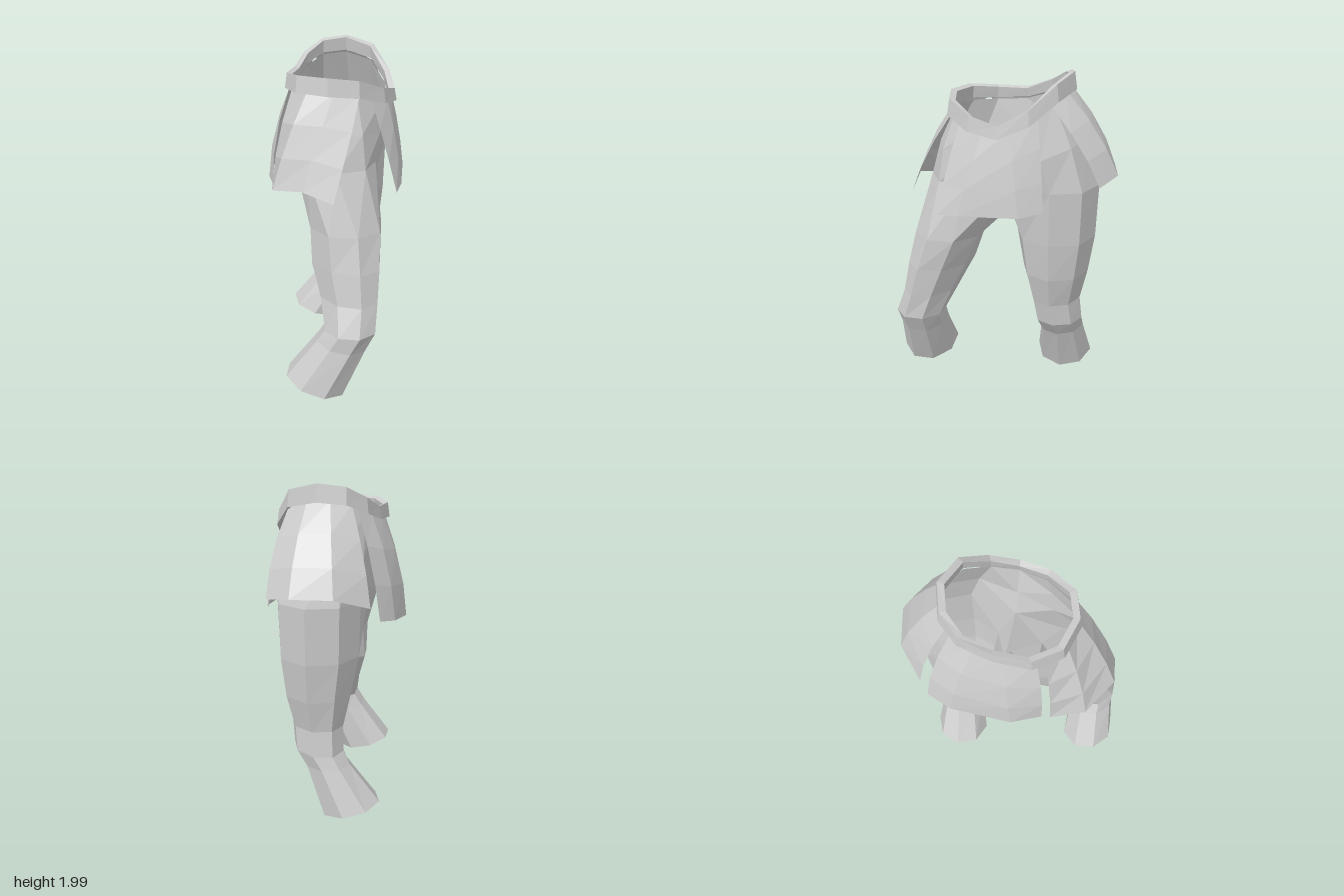
import * as THREE from 'three';

const material = new THREE.MeshStandardMaterial({ color: 0xcccccc, flatShading: true, side: THREE.DoubleSide });
const V = (x, y, z) => new THREE.Vector3(x, y, z);

// Skin rows of points (listed top to bottom, running clockwise seen from above).
function skin(name, rows, closed) {
  const n = rows[0].length, index = [];
  for (let r = 0; r < rows.length - 1; r++) {
    for (let i = 0; i < (closed ? n : n - 1); i++) {
      const j = (i + 1) % n, up = r * n, lo = up + n;
      index.push(lo + i, lo + j, up + j, lo + i, up + j, up + i);
    }
  }
  const geometry = new THREE.BufferGeometry().setFromPoints(rows.flat());
  geometry.setIndex(index);
  geometry.computeVertexNormals();
  const mesh = new THREE.Mesh(geometry, material);
  mesh.name = name;
  return mesh;
}

// Eight-sided leg ring, optionally tilted by slopes along x and z.
function ring(start, [x, y, z, rx, rz, sx = 0, sz = 0]) {
  return Array.from({ length: 8 }, (_, k) => {
    const a = THREE.MathUtils.degToRad(start - 45 * k);
    const dx = rx * Math.cos(a), dz = rz * Math.sin(a);
    return V(x + dx, y + sx * dx + sz * dz, z + dz);
  });
}

// Lower edge of the belt, starting at the front between the legs.
const waist = [
  [0.23, 1.67, 0.26], [0.345, 1.74, 0.13], [0.40, 1.86, -0.04], [0.36, 1.9, -0.23],
  [0.24, 1.885, -0.34], [0.10, 1.83, -0.36], [-0.07, 1.775, -0.29], [-0.25, 1.76, -0.18],
  [-0.33, 1.765, -0.02], [-0.28, 1.76, 0.17], [-0.15, 1.745, 0.29], [0.05, 1.69, 0.315],
].map((p) => V(...p));
const centre = V(0.04, 0, -0.03);
const scaled = (p, scale, lift) => V(
  centre.x + (p.x - centre.x) * scale, p.y + lift, centre.z + (p.z - centre.z) * scale);
const waistLoop = (scale, lift) => waist.map((p) => scaled(p, scale, lift));

// The belt is tallest over the two hips.
function buildBelt() {
  const rim = (scale, drop) => waist.map((p, i) =>
    scaled(p, scale, 0.073 + 0.027 * Math.abs(Math.cos((i - 3) * Math.PI / 6)) - drop));
  const outerTop = rim(0.98, 0);
  return skin('belt', [outerTop, waistLoop(1.02, 0), waistLoop(0.91, 0.01), rim(0.88, 0.01), outerTop], true);
}

// Trousers: pelvis and two legs sharing the crotch points.
function buildTrousers() {
  const group = new THREE.Group();
  group.name = 'trousers';
  const front = V(0.16, 1.32, 0.14), back = V(-0.05, 1.32, -0.22), crotch = V(0.06, 1.16, -0.02);
  const LEFT = 103, RIGHT = -77, RIGHT_LOWER = -101;

  const leftTop = ring(LEFT, [0.30, 1.35, -0.17, 0.25, 0.25]);
  [leftTop[0], leftTop[6], leftTop[7]] = [front, back, crotch];
  const rightTop = ring(RIGHT - 10, [-0.16, 1.35, 0.12, 0.235, 0.24]);
  [rightTop[0], rightTop[6], rightTop[7]] = [back, front, crotch];

  const hips = [...leftTop.slice(0, 7), ...rightTop.slice(1, 6)];
  const top = waistLoop(0.91, 0);
  const middle = top.map((p, i) => scaled(p.clone().lerp(hips[i], 0.5), i % 6 === 0 ? 1 : 1.05, 0));
  group.add(skin('pelvis', [top, middle, hips], true));

  const leftRings = [
    [0.298, 1.02, -0.17, 0.245, 0.24], [0.31, 0.78, -0.165, 0.2, 0.21],
    [0.315, 0.58, -0.172, 0.145, 0.17], [0.325, 0.43, -0.195, 0.142, 0.165, 0, 0.05],
    [0.31, 0.34, -0.25, 0.13, 0.15, 0, -0.05], [0.23, 0.07, -0.375, 0.18, 0.18, -0.12, -0.22],
  ];
  const rightRings = [
    [-0.21, 1.0, 0.25, 0.21, 0.225], [-0.26, 0.79, 0.285, 0.175, 0.235],
    [-0.30, 0.6, 0.345, 0.145, 0.2], [-0.35, 0.43, 0.405, 0.15, 0.165, 0, 0.03],
    [-0.38, 0.33, 0.36, 0.145, 0.16, -0.1, -0.1], [-0.48, 0.056, 0.238, 0.172, 0.19, -0.18, -0.22],
  ];
  group.add(skin('leftLeg', [leftTop, ...leftRings.map((r) => ring(LEFT, r))], true));
  group.add(skin('rightLeg', [rightTop, ...rightRings.map((r) => ring(RIGHT_LOWER, r))], true));
  return group;
}

// Point tucked under the belt, u counting along the waist points.
function underBelt(u) {
  const i = Math.floor(u), n = waist.length;
  const p = waist[(i + n) % n].clone().lerp(waist[(i + 1 + n) % n], u - i);
  return scaled(p, 0.96, 0.015);
}

// Skirt panel hanging from the belt, bowed outward between its top and bottom edges.
function panel(name, from, to, bottom, bow) {
  const last = bottom.length - 1;
  const rows = [0, 0.33, 0.67, 1].map((t) => bottom.map((b, i) => {
    const q = underBelt(from + (to - from) * i / last).lerp(V(...b), t);
    const out = V(q.x - centre.x, 0, q.z - centre.z).normalize();
    return q.addScaledVector(out, bow * Math.sin(Math.PI * t));
  }));
  return skin(name, rows, false);
}

export function createModel() {
  const model = new THREE.Group();
  model.name = 'trousersWithSkirt';
  model.add(buildTrousers(), buildBelt());
  model.add(
    panel('frontPanel', -1.5, 1.35,
      [[-0.04, 1.21, 0.485], [0.08, 1.22, 0.43], [0.37, 1.235, 0.23], [0.45, 1.26, 0.11]], 0.01),
    panel('leftPanel', 1.8, 4.3,
      [[0.645, 1.40, -0.14], [0.63, 1.43, -0.32], [0.47, 1.43, -0.49], [0.26, 1.36, -0.555]], 0.035),
    panel('backPanel', 4.55, 7.2,
      [[0.2, 1.28, -0.57], [0.05, 1.25, -0.54], [-0.25, 1.18, -0.35], [-0.36, 1.18, -0.2]], 0.035),
    panel('rightPanel', 7.45, 10.05,
      [[-0.4, 1.18, -0.17], [-0.54, 1.24, -0.02], [-0.55, 1.29, 0.22], [-0.45, 1.22, 0.36]], 0.025),
  );
  return model;
}
